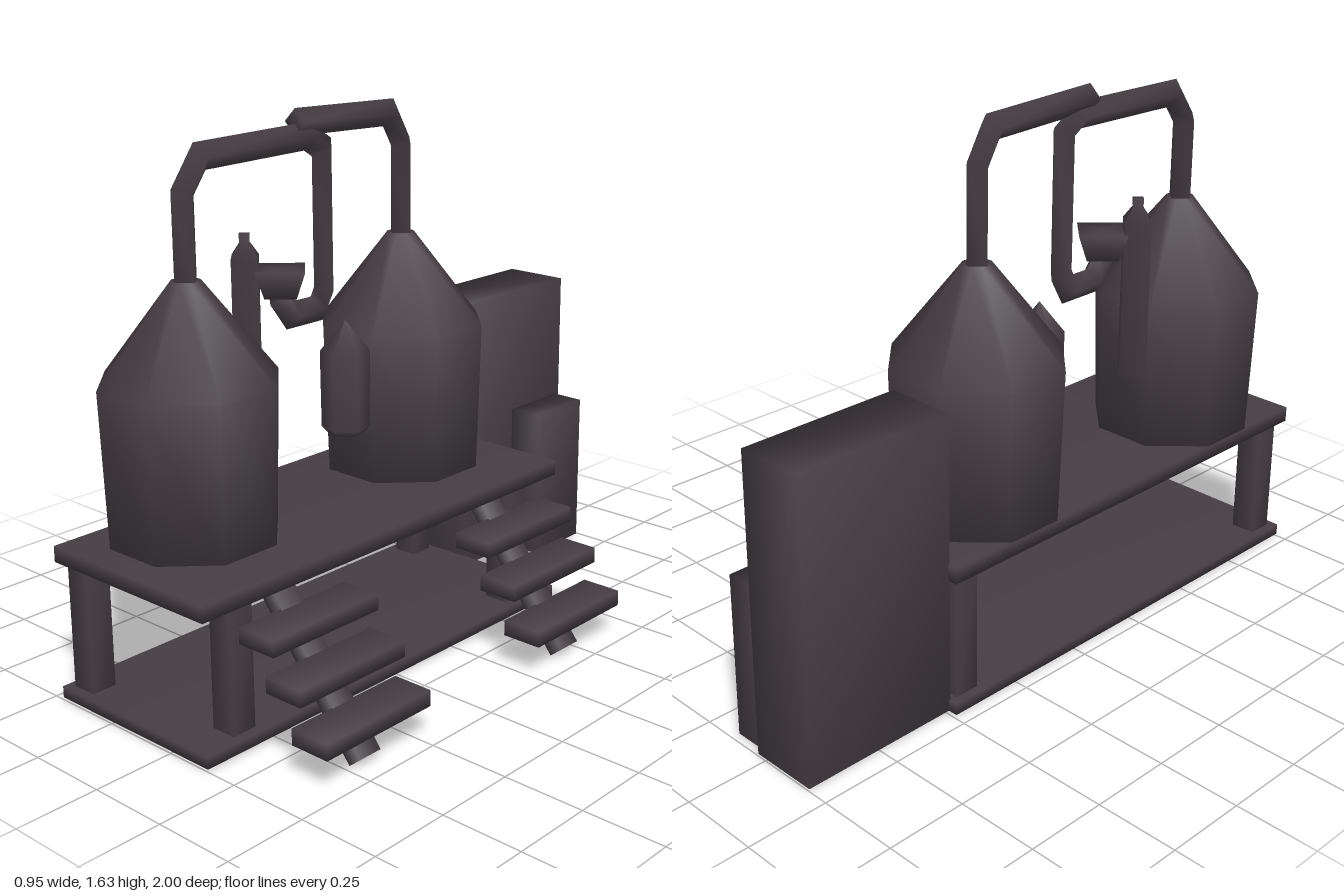
import * as THREE from 'three';
import { mergeVertices } from 'three/addons/utils/BufferGeometryUtils.js';

const metal = new THREE.MeshStandardMaterial({ name: 'dark metal', color: 0x453d43 });

// Share corner vertices so the shading runs smoothly over the edges
function smooth(geometry) {
  geometry.deleteAttribute('normal');
  geometry.deleteAttribute('uv');
  const merged = mergeVertices(geometry, 1e-4);
  merged.computeVertexNormals();
  return merged;
}

// Square pipe set on edge, with mitred bends, along [z, y] points at a fixed x
function pipeGeometry(path, x, r) {
  const pts = path.map(([z, y]) => new THREE.Vector2(z, y));
  const pos = [], idx = [], n = pts.length;
  pts.forEach((p, i) => {
    const before = p.clone().sub(pts[Math.max(i - 1, 0)]).normalize();
    const after = pts[Math.min(i + 1, n - 1)].clone().sub(p).normalize();
    const t = before.clone().add(after).normalize();
    const s = r / t.dot(i ? before : after);
    pos.push(x + r, p.y, p.x, x, p.y + t.x * s, p.x - t.y * s,
      x - r, p.y, p.x, x, p.y - t.x * s, p.x + t.y * s);
    if (i === n - 1) return;
    for (let k = 0; k < 4; k++) {
      const a = i * 4 + k, b = i * 4 + (k + 1) % 4;
      idx.push(a, b, a + 4, b, b + 4, a + 4);
    }
  });
  const e = (n - 1) * 4;
  idx.push(0, 2, 1, 0, 3, 2, e, e + 1, e + 2, e, e + 2, e + 3);
  const g = new THREE.BufferGeometry();
  g.setAttribute('position', new THREE.Float32BufferAttribute(pos, 3));
  g.setIndex(idx);
  g.computeVertexNormals();
  return g;
}

export function createModel() {
  const model = new THREE.Group();
  model.name = 'distillery';

  const add = (name, geometry, x = 0, y = 0, z = 0) => {
    const mesh = new THREE.Mesh(geometry, metal);
    mesh.name = name;
    mesh.position.set(x, y, z);
    model.add(mesh);
    return mesh;
  };
  // Box given by its limits on each axis
  const box = (name, [x0, x1], [y0, y1], [z0, z1]) =>
    add(name, smooth(new THREE.BoxGeometry(x1 - x0, y1 - y0, z1 - z0)),
      (x0 + x1) / 2, (y0 + y1) / 2, (z0 + z1) / 2);
  // Low-sided turned part from a [radius, height] profile
  const turned = (name, profile, sides, x, z, turn = 0) => {
    const g = new THREE.LatheGeometry(profile.map(([r, y]) => new THREE.Vector2(r, y)), sides);
    add(name, g, x, 0, z).rotation.y = turn;
  };

  // Platform, base and legs
  box('platform', [-0.465, 0.15], [0.43, 0.478], [-0.495, 1]);
  box('base', [-0.465, 0.15], [0.012, 0.047], [-0.495, 1]);
  for (const [x, z] of [[-0.4, 0.935], [-0.4, -0.43], [0.08, 0.84], [0.08, -0.33]])
    box('leg', [x - 0.04, x + 0.04], [0.012, 0.435], [z - 0.04, z + 0.04]);

  // Two flights of steps
  for (const z of [0.685, -0.195]) {
    const stringer = add('stairStringer', smooth(new THREE.BoxGeometry(0.05, 0.52, 0.08)), 0.262, 0.222, z + 0.005);
    stringer.rotation.z = 0.682;
    for (const [x, y] of [[0.155, 0.333], [0.252, 0.223], [0.345, 0.106]])
      box('stairTread', [x, x + 0.128], [y, y + 0.048], [z - 0.205, z + 0.195]);
  }

  // Octagonal stills
  const k = 1 / Math.cos(Math.PI / 8);
  const still = [[0, 0.475], [0.23 * k, 0.475], [0.243 * k, 0.935], [0.04 * k, 1.215], [0, 1.215]];
  for (const z of [0.68, -0.19]) turned('still', still, 8, -0.235, z, Math.PI / 8);

  // Vapour pipes
  add('frontPipe', pipeGeometry([[0.68, 1.18], [0.68, 1.455], [0.615, 1.545], [0.21, 1.553],
    [0.15, 1.515], [0.15, 1.095], [0.18, 1.042], [0.285, 1.042], [0.335, 1.11]], -0.235, 0.04));
  add('rearPipe', pipeGeometry([[0.255, 1.597], [-0.135, 1.585], [-0.19, 1.49], [-0.19, 1.18]], -0.235, 0.04));

  // Funnel, collecting flask and hanging vessel between the stills
  turned('funnel', [[0, 1.107], [0.065, 1.107], [0.1, 1.187], [0, 1.187]], 4, -0.235, 0.325);
  turned('flask', [[0, 0.742], [0.055, 0.742], [0.055, 1.22], [0.02, 1.262], [0.022, 1.288], [0, 1.288]], 4, -0.312, 0.39);
  turned('hangingVessel', [[0, 0.65], [0.055, 0.655], [0.073, 0.675], [0.075, 0.91], [0, 1.005]], 6, -0.18, 0.12, Math.PI / 12);

  // Cabinets behind the platform
  box('tallCabinet', [-0.435, -0.22], [0.012, 0.925], [-1, -0.49]);
  box('smallCabinet', [-0.22, -0.11], [0.012, 0.512], [-0.98, -0.74]);

  return model;
}
